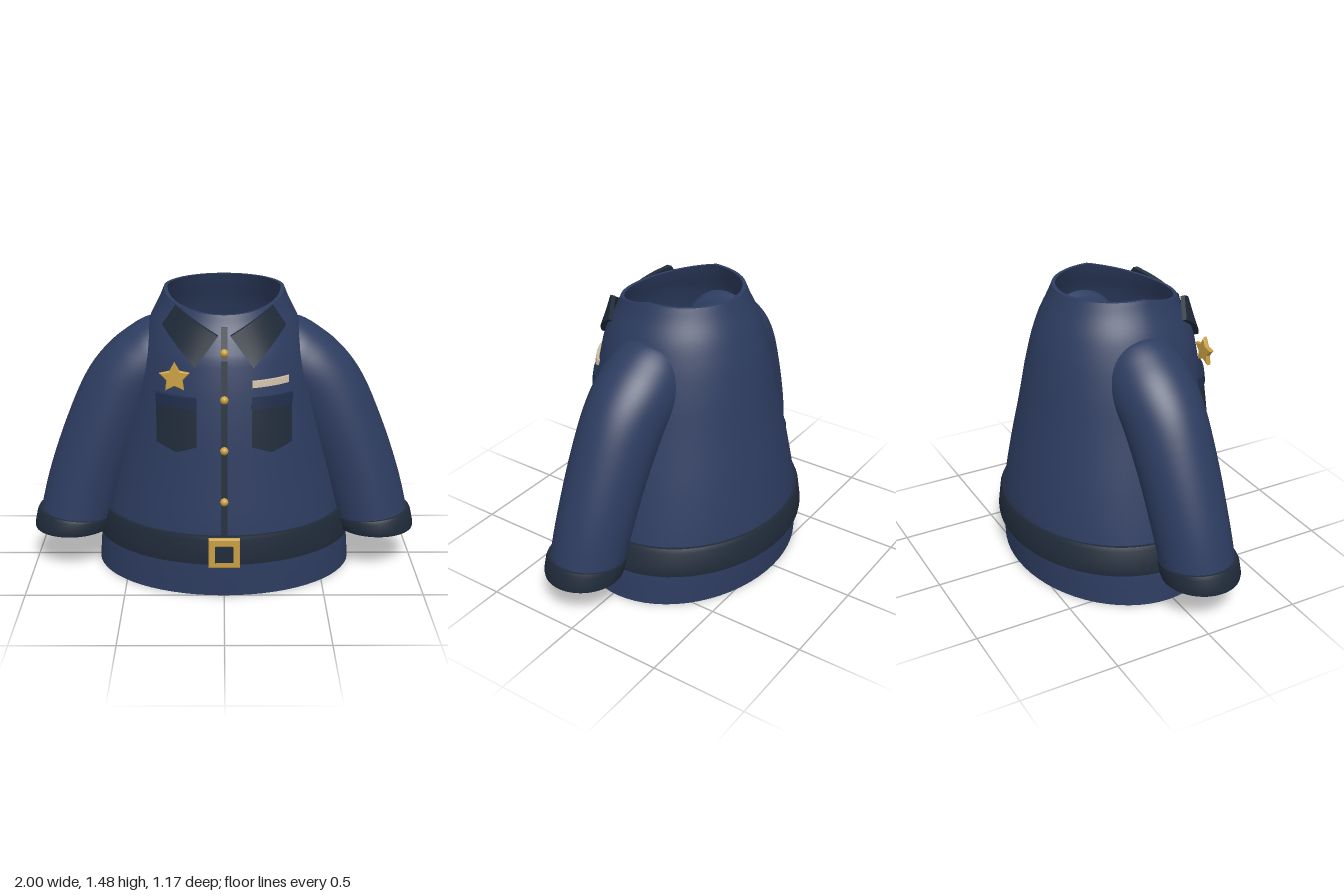
import * as THREE from 'three';
import { toCreasedNormals } from 'three/addons/utils/BufferGeometryUtils.js';

const mat = (name, color) => {
  const m = new THREE.MeshStandardMaterial({ color, side: THREE.DoubleSide });
  m.name = name;
  return m;
};

// Rows of up to six numbers, resampled along a smooth curve
function smooth(rows, steps) {
  const pick = (r, k) => new THREE.Vector3(r[k] ?? 0, r[k + 1] ?? 0, r[k + 2] ?? 0);
  const a = new THREE.CatmullRomCurve3(rows.map(r => pick(r, 0)));
  const b = new THREE.CatmullRomCurve3(rows.map(r => pick(r, 3)));
  return Array.from({ length: steps + 1 }, (_, i) =>
    [...a.getPoint(i / steps).toArray(), ...b.getPoint(i / steps).toArray()]);
}

// Skin over a list of closed rings of points
function loft(rings) {
  const n = rings[0].length, index = [];
  for (let i = 0; i < rings.length - 1; i++)
    for (let j = 0; j < n; j++) {
      const k = (j + 1) % n, a = i * n + j, b = i * n + k;
      index.push(a, a + n, b, b, a + n, b + n);
    }
  const g = new THREE.BufferGeometry();
  g.setAttribute('position', new THREE.Float32BufferAttribute(rings.flat(2), 3));
  g.setIndex(index);
  return toCreasedNormals(g, 0.8);
}

// Hollow cloth tube: inner skin, outer skin and both rims
function shell(rows, ringFn, thick) {
  const inner = rows.map(r => ringFn(r, -thick)).reverse();
  return loft([...inner, ...rows.map(r => ringFn(r, 0)), inner[0]]);
}

const N = 64;
const angles = Array.from({ length: N }, (_, i) => (i / N) * Math.PI * 2);

// Body stations: height, half width, front z, back z
const BODY = smooth([
  [0, 0.668, 0.503, -0.552], [0.18, 0.652, 0.51, -0.56], [0.33, 0.622, 0.508, -0.555],
  [0.6, 0.56, 0.488, -0.515], [0.85, 0.5, 0.47, -0.468], [1.05, 0.455, 0.448, -0.433],
  [1.2, 0.415, 0.422, -0.4], [1.32, 0.375, 0.388, -0.36], [1.42, 0.325, 0.355, -0.315],
  [1.48, 0.3, 0.338, -0.29],
].map(([y, rx, f, b]) => [y, rx, 0, f, b]), 36);

// Oval body ring; the neckline dips at the front
const bodyRing = ([y, rx, , f, b], off) => angles.map(a => {
  const dip = 0.08 * Math.max(0, Math.sin(a)) * Math.max(0, (y - 1.2) / 0.28);
  return [Math.cos(a) * (rx + off), y - dip, (f + b) / 2 + Math.sin(a) * ((f - b) / 2 + off)];
});

// Front surface of the body at x, y
function bodyZ(x, y) {
  const i = Math.max(1, BODY.findIndex(r => r[0] >= y));
  const p = BODY[i - 1], q = BODY[i], t = (y - p[0]) / (q[0] - p[0]);
  const [rx, f, b] = [1, 3, 4].map(k => p[k] + (q[k] - p[k]) * t);
  return (f + b) / 2 + (f - b) / 2 * Math.sqrt(Math.max(0, 1 - (x / rx) ** 2));
}

// Thin curved panel; corners run bottom left, bottom right, top right, top left
function patch(corners, zFn, thick, point = 0) {
  const g = new THREE.BoxGeometry(1, 1, 1, 8, 6, 1), p = g.attributes.position;
  for (let i = 0; i < p.count; i++) {
    const u = p.getX(i) + 0.5, v = p.getY(i) + 0.5;
    const w = [(1 - u) * (1 - v), u * (1 - v), u * v, (1 - u) * v];
    const mix = k => corners.reduce((s, c, j) => s + (c[k] ?? 0) * w[j], 0);
    const x = mix(0), y = mix(1) + point * Math.abs(2 * u - 1) * (1 - v);
    p.setXYZ(i, x, y, zFn(x, y, mix(2), u, v) + p.getZ(i) * thick);
  }
  g.computeVertexNormals();
  return g;
}
const rect = (x0, x1, y0, y1) => [[x0, y0], [x1, y0], [x1, y1], [x0, y1]];

export function createModel() {
  const model = new THREE.Group();
  model.name = 'uniformJacket';
  const cloth = mat('navy cloth', 0x2d3c60);
  const trim = mat('dark trim', 0x202b3a);
  const flapCloth = mat('flap navy', 0x1f2d49);
  const gold = mat('gold', 0xc99f42);
  const tan = mat('pale bar', 0xcbbba3);
  const add = (name, geometry, material, parent = model) => {
    const m = new THREE.Mesh(geometry, material);
    m.name = name;
    parent.add(m);
    return m;
  };

  // Torso and belt
  add('torso', shell(BODY, bodyRing, 0.018), cloth);
  add('belt', shell([[0.18, 0.668, 0, 0.528, -0.585], [0.2, 0.67, 0, 0.53, -0.587],
    [0.31, 0.646, 0, 0.53, -0.577], [0.33, 0.638, 0, 0.526, -0.567]], bodyRing, 0.03), trim);

  // Sleeve stations from wrist to shoulder: centre x, y, tilt, radius, z radius, z
  const sleeveRows = smooth([
    [0.79, 0.22, 0, 0.19, 0.185, 0.07], [0.72, 0.47, 0.28, 0.195, 0.19, 0.05],
    [0.63, 0.71, 0.38, 0.2, 0.196, 0.035], [0.52, 0.93, 0.51, 0.21, 0.203, 0.02],
    [0.42, 1.05, 0.72, 0.21, 0.21, 0.01], [0.33, 1.12, 0.88, 0.205, 0.205, 0.005],
    [0.27, 1.17, 0.9, 0.185, 0.185, 0], [0.21, 1.2, 0.72, 0.13, 0.13, -0.01],
    [0.2, 1.24, 0.64, 0.07, 0.07, -0.015],
  ], 36);
  const cuffRows = [[0.797, 0.21, 0, 0.2, 0.195, 0.072], [0.795, 0.225, 0.02, 0.203, 0.199, 0.072],
    [0.781, 0.28, 0.08, 0.203, 0.199, 0.068], [0.776, 0.295, 0.1, 0.199, 0.195, 0.066]];

  for (const s of [1, -1]) {
    const side = s > 0 ? 'left' : 'right';
    const ring = ([x, y, t, r, rz, z], off) => angles.map(a => {
      const c = Math.cos(a) * (r + off);
      return [s * (x + c * Math.cos(t)), y + c * Math.sin(t), z + Math.sin(a * s) * (rz + off)];
    });
    add(side + 'Sleeve', shell(sleeveRows, ring, 0.015), cloth);
    add(side + 'Cuff', shell(cuffRows, ring, 0.022), trim);

    // Collar wing
    const wing = [[0.14, 1.165, 0.425], [0.3, 1.335, 0.25], [0.235, 1.435, 0.275], [0.03, 1.315, 0.4]]
      .map(([x, y, z]) => [s * x, y, z]);
    const corners = s > 0 ? wing : [wing[1], wing[0], wing[3], wing[2]];
    add(side + 'Collar', patch(corners, (x, y, z, u, v) =>
      z + 0.025 * Math.sin(Math.PI * u), 0.025), trim);

    // Chest pocket with pointed bottom and flap
    const x0 = Math.min(s * 0.134, s * 0.332), x1 = x0 + 0.198;
    add(side + 'Pocket', patch(rect(x0, x1, 0.745, 1.0),
      (x, y) => bodyZ(x, y) + 0.005, 0.024, 0.035), trim);
    add(side + 'PocketFlap', patch(rect(x0 - 0.002, x1 + 0.002, 0.965, 1.018),
      (x, y) => bodyZ(x, y) + 0.01, 0.032), flapCloth);
  }

  // Front placket strip
  const edge = [[0.33, 0.53], [0.77, 0.492], [1.02, 0.465], [1.2, 0.434], [1.35, 0.39]];
  const strip = new THREE.Shape([
    ...edge.map(([y, z]) => new THREE.Vector2(-z, y)),
    ...edge.map(([y, z]) => new THREE.Vector2(-z + 0.012, y)).reverse()]);
  const placket = new THREE.ExtrudeGeometry(strip, { depth: 0.03, bevelEnabled: false });
  placket.translate(0, 0, -0.015).rotateY(Math.PI / 2);
  add('placket', placket, trim);

  // Buttons
  for (const [y, z] of [[0.515, 0.525], [0.77, 0.5], [1.02, 0.48], [1.24, 0.437]])
    add('button', new THREE.SphereGeometry(0.02, 16, 12), gold).position.set(0, y, z);

  // Star badge
  const star = new THREE.Shape(Array.from({ length: 10 }, (_, i) => {
    const r = i % 2 ? 0.036 : 0.07, a = Math.PI / 2 + i * Math.PI / 5;
    return new THREE.Vector2(r * Math.cos(a), r * Math.sin(a));
  }));
  add('starBadge', new THREE.ExtrudeGeometry(star, {
    depth: 0.012, bevelThickness: 0.006, bevelSize: 0.005, bevelSegments: 1,
  }), gold).position.set(-0.238, 1.113, 0.408);

  // Bar badge
  add('barBadge', patch(rect(0.135, 0.315, 1.07, 1.1), (x, y) => bodyZ(x, y) + 0.012, 0.02), tan);

  // Belt buckle: square frame with a dark plate
  const sq = h => [[-h, -h], [h, -h], [h, h], [-h, h]].map(p => new THREE.Vector2(...p));
  const frame = new THREE.Shape(sq(0.072));
  frame.holes.push(new THREE.Path(sq(0.042)));
  add('buckleFrame', new THREE.ExtrudeGeometry(frame, {
    depth: 0.014, bevelThickness: 0.004, bevelSize: 0.005, bevelSegments: 1,
  }), gold).position.set(0, 0.258, 0.549);
  add('bucklePlate', new THREE.BoxGeometry(0.09, 0.078, 0.018), trim).position.set(0, 0.258, 0.579);

  return model;
}
